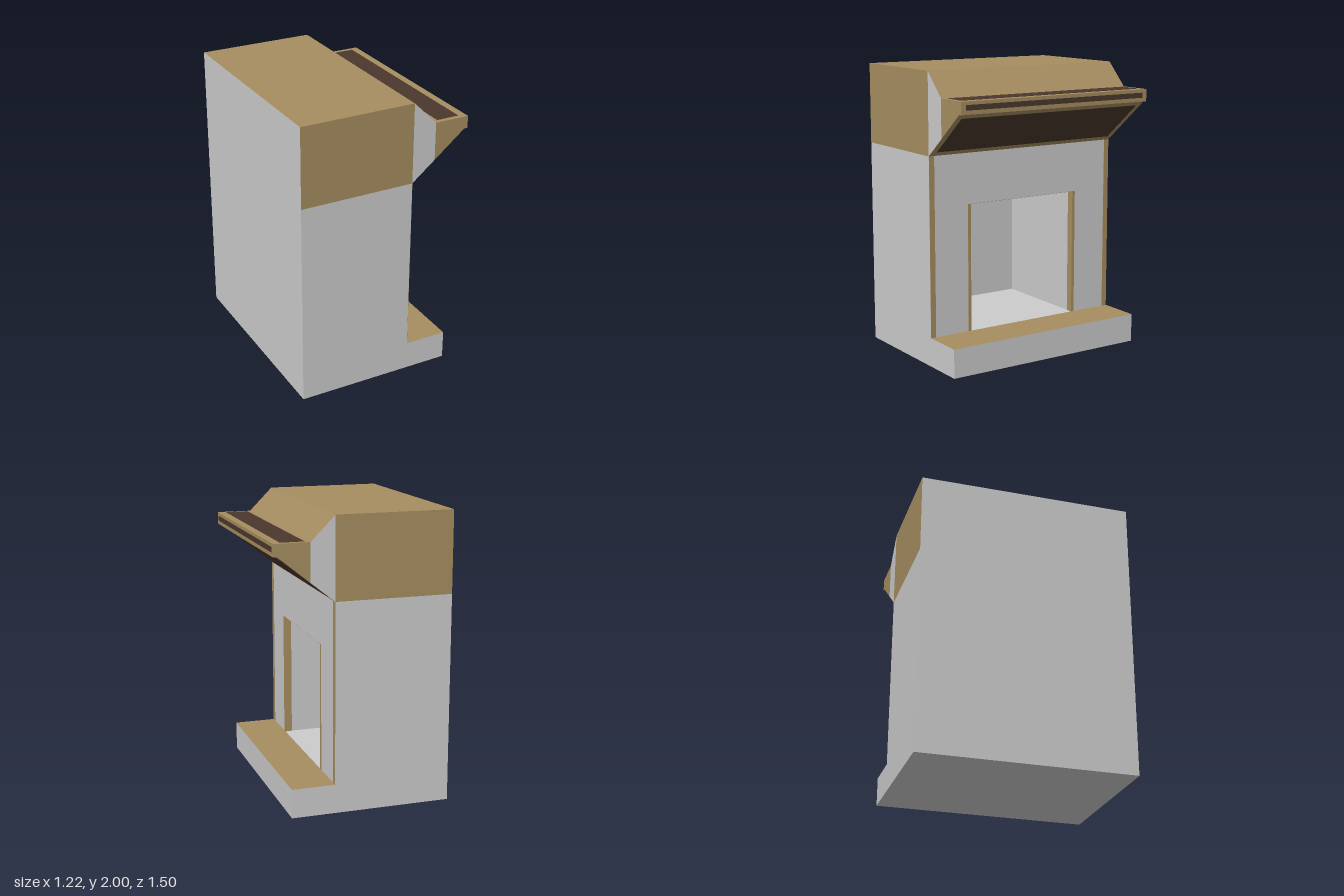
import * as THREE from 'three';

const grey = new THREE.MeshStandardMaterial({ color: 0xcccccc });
const wood = new THREE.MeshStandardMaterial({ color: 0xa68d60 });
const dark = new THREE.MeshStandardMaterial({ color: 0x4b382d });

const HALF = 0.75; // half of the width along z
const FRONT = 0.2; // x of the chimney breast face

export function createModel() {
  const group = new THREE.Group();
  const add = (name, geometry, material) => {
    const mesh = new THREE.Mesh(geometry, material);
    mesh.name = name;
    group.add(mesh);
    return mesh;
  };

  // Box given by its limits on each axis
  const box = (name, [x0, x1], [y0, y1], [z0, z1], material) =>
    add(name, new THREE.BoxGeometry(x1 - x0, y1 - y0, z1 - z0), material)
      .position.set((x0 + x1) / 2, (y0 + y1) / 2, (z0 + z1) / 2);

  // Side profile (x, y) swept across the whole width
  const sweep = (name, points, materials) => {
    const shape = new THREE.Shape(points.map(p => new THREE.Vector2(...p)));
    const geometry = new THREE.ExtrudeGeometry(shape, { depth: 2 * HALF, bevelEnabled: false });
    add(name, geometry.translate(0, 0, -HALF), materials);
  };

  // Base slab and hearth with a coloured top
  const full = [-HALF, HALF];
  box('baseSlab', [-0.61, FRONT], [0, 0.2], full, grey);
  box('hearth', [FRONT, 0.5], [0, 0.2], full, [grey, grey, wood, grey, grey, grey]);

  // Chimney breast: an arch-like block around the firebox, closed at the back
  const breast = new THREE.Shape([
    [-HALF, 0.2], [-0.43, 0.2], [-0.43, 1.09], [0.43, 1.09],
    [0.43, 0.2], [HALF, 0.2], [HALF, 1.44], [-HALF, 1.44],
  ].map(p => new THREE.Vector2(...p)));
  const breastGeometry = new THREE.ExtrudeGeometry(breast, { depth: FRONT + 0.57, bevelEnabled: false });
  add('chimneyBreast', breastGeometry.rotateY(Math.PI / 2).translate(-0.57, 0, 0), grey);
  box('backWall', [-0.61, -0.57], [0.2, 1.44], full, grey);

  // Upper block
  box('upperBlock', [-0.61, FRONT], [1.44, 2], full, [wood, grey, wood, wood, wood, wood]);

  // Trim strips on the breast face and around the firebox mouth
  for (const side of [-1, 1]) {
    const span = (a, b) => (side > 0 ? [a, b] : [-b, -a]);
    box('edgeTrim', [FRONT - 0.002, FRONT + 0.002], [0.2, 1.44], span(0.71, 0.749), wood);
    box('fireboxJamb', [0.15, FRONT + 0.002], [0.2, 1.09], span(0.428, 0.45), wood);
  }
  box('fireboxLintel', [0.15, FRONT - 0.001], [1.088, 1.092], [-0.43, 0.43], wood);

  // Hood neck with grey ends, then the mantel shelf
  const slopeY = x => 1.44 + (x - FRONT) * (0.31 / 0.385);
  sweep('hoodNeck', [[FRONT, 1.44], [0.365, slopeY(0.365)], [0.365, 1.835], [FRONT, 2]], [grey, wood]);
  sweep('mantelShelf', [
    [0.365, slopeY(0.365)], [0.585, 1.75], [0.61, 1.75], [0.61, 1.835], [0.365, 1.835],
  ], wood);

  // Dark panels on the shelf top, its edge and the sloping underside
  const panelZ = [-0.715, 0.715];
  box('shelfTopPanel', [0.395, 0.555], [1.833, 1.837], panelZ, dark);
  box('shelfEdgePanel', [0.608, 0.612], [1.777, 1.812], panelZ, dark);
  const a = new THREE.Vector2(0.237, slopeY(0.237));
  const b = new THREE.Vector2(0.548, slopeY(0.548));
  const under = add('undersidePanel', new THREE.BoxGeometry(a.distanceTo(b), 0.004, 1.42), dark);
  under.position.set((a.x + b.x) / 2, (a.y + b.y) / 2, 0);
  under.rotation.z = b.clone().sub(a).angle();

  return group;
}
